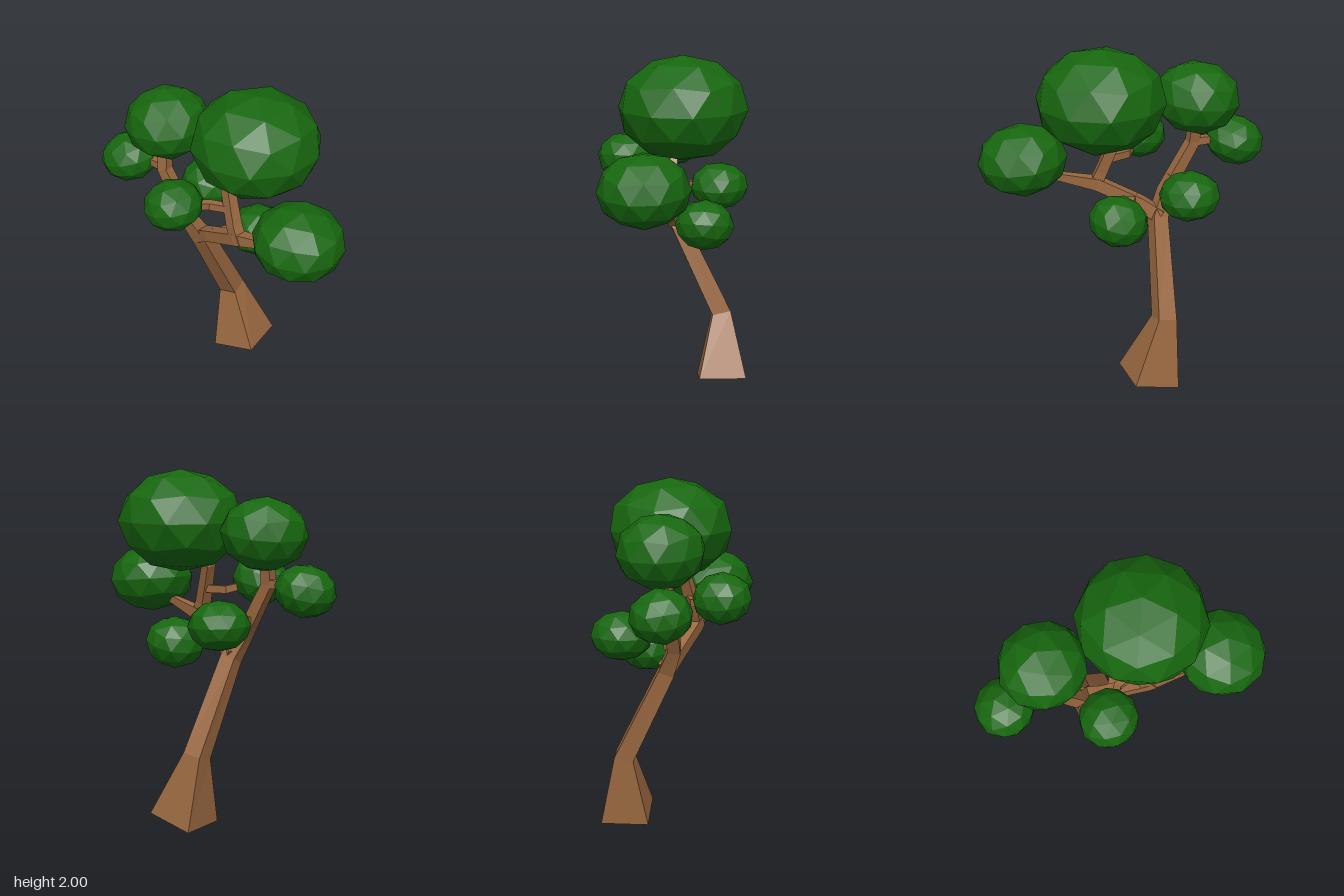
import * as THREE from 'three';

const bark = new THREE.MeshStandardMaterial({ color: 0x9a6840, flatShading: true });
const leaf = new THREE.MeshStandardMaterial({ color: 0x17670f, flatShading: true });

// Four-sided tapering limb through rings given as [x, y, z, half width]
function limb(name, rings, side) {
  const pts = rings.map(([x, y, z]) => new THREE.Vector3(x, y, z));
  const ref = new THREE.Vector3(...side);
  const pos = [], index = [];
  pts.forEach((p, i) => {
    const t = new THREE.Vector3();
    if (i > 0) t.add(p.clone().sub(pts[i - 1]).normalize());
    if (i < pts.length - 1) t.add(pts[i + 1].clone().sub(p).normalize());
    t.normalize();
    const u = ref.clone().addScaledVector(t, -ref.dot(t)).normalize();
    const v = t.clone().cross(u);
    for (const [a, b] of [[1, 1], [-1, 1], [-1, -1], [1, -1]]) {
      const r = rings[i][3];
      pos.push(...p.clone().addScaledVector(u, a * r).addScaledVector(v, b * r).toArray());
    }
    if (i === 0) return;
    for (let k = 0; k < 4; k++) {
      const a = (i - 1) * 4 + k, b = (i - 1) * 4 + (k + 1) % 4;
      index.push(a, b, b + 4, a, b + 4, a + 4);
    }
  });
  const e = (pts.length - 1) * 4;
  index.push(0, 3, 2, 0, 2, 1, e, e + 1, e + 2, e, e + 2, e + 3);
  const geo = new THREE.BufferGeometry();
  geo.setAttribute('position', new THREE.Float32BufferAttribute(pos, 3));
  geo.setIndex(index);
  const flat = geo.toNonIndexed();
  flat.computeVertexNormals();
  const mesh = new THREE.Mesh(flat, bark);
  mesh.name = name;
  return mesh;
}

// Flattened faceted ball of leaves
function clump(name, [x, y, z], r, h, tilt, turn) {
  const geo = new THREE.IcosahedronGeometry(1, 1);
  geo.rotateZ(-Math.atan(2 / (1 + Math.sqrt(5)))); // a corner points up
  geo.rotateY(turn);
  geo.scale(r, h, r);
  geo.rotateX(tilt);
  geo.computeVertexNormals();
  const mesh = new THREE.Mesh(geo, leaf);
  mesh.position.set(x, y, z);
  mesh.name = name;
  return mesh;
}

export function createModel() {
  const tree = new THREE.Group();
  tree.name = 'tree';

  // Leaning trunk that runs on into the rear limb
  tree.add(limb('trunk', [
    [0.283, 0.035, -0.132, 0.139], [0.257, 0.412, -0.222, 0.056],
    [0.0, 0.94, -0.205, 0.046], [-0.065, 1.08, -0.25, 0.037],
    [-0.1, 1.37, -0.41, 0.032], [-0.07, 1.6, -0.43, 0.03],
  ], [0.96, 0, -0.28]));

  // Front limb and smaller branches
  const X = [1, 0, 0], Y = [0, 1, 0], Z = [0, 0, 1];
  tree.add(
    limb('frontLimb', [[0.0, 0.95, -0.22, 0.04], [-0.03, 1.03, -0.1, 0.035],
      [-0.05, 1.15, 0.15, 0.036], [-0.02, 1.22, 0.4, 0.02], [0, 1.3, 0.55, 0.02]], X),
    limb('crownBranch', [[-0.05, 1.12, 0.17, 0.034], [-0.05, 1.22, 0.125, 0.033],
      [-0.02, 1.45, 0.035, 0.03], [0.06, 1.65, 0.08, 0.025]], X),
    limb('sideBranch', [[-0.04, 1.31, 0.07, 0.022], [-0.1, 1.31, -0.03, 0.022],
      [-0.28, 1.35, -0.1, 0.018]], Y),
    limb('lowBranch', [[-0.04, 1.055, -0.06, 0.025], [0.06, 1.05, -0.03, 0.024],
      [0.2, 1.03, 0.03, 0.02]], Y),
    limb('middleBranch', [[-0.08, 1.16, -0.29, 0.025], [0.05, 1.17, -0.32, 0.024],
      [0.2, 1.17, -0.36, 0.02]], Y),
    limb('rearBranch', [[-0.09, 1.38, -0.4, 0.026], [-0.11, 1.38, -0.5, 0.022],
      [-0.15, 1.37, -0.64, 0.018]], Y),
  );

  // Foliage
  tree.add(
    clump('crownFoliage', [0.105, 1.71, 0.13], 0.367, 0.294, 0, 0.4),
    clump('rearCrownFoliage', [-0.055, 1.66, -0.425], 0.247, 0.207, -0.12, 0.9),
    clump('rearFoliage', [-0.15, 1.36, -0.663], 0.172, 0.145, -0.3, 0.2),
    clump('frontFoliage', [0.005, 1.332, 0.573], 0.257, 0.202, 0.1, 0.6),
    clump('sideFoliage', [-0.297, 1.365, -0.108], 0.169, 0.146, -0.25, 1.1),
    clump('lowFoliage', [0.213, 1.023, 0.042], 0.172, 0.146, -0.25, 0.5),
    clump('middleFoliage', [0.207, 1.165, -0.36], 0.176, 0.14, 0.05, 0.3),
  );
  return tree;
}
